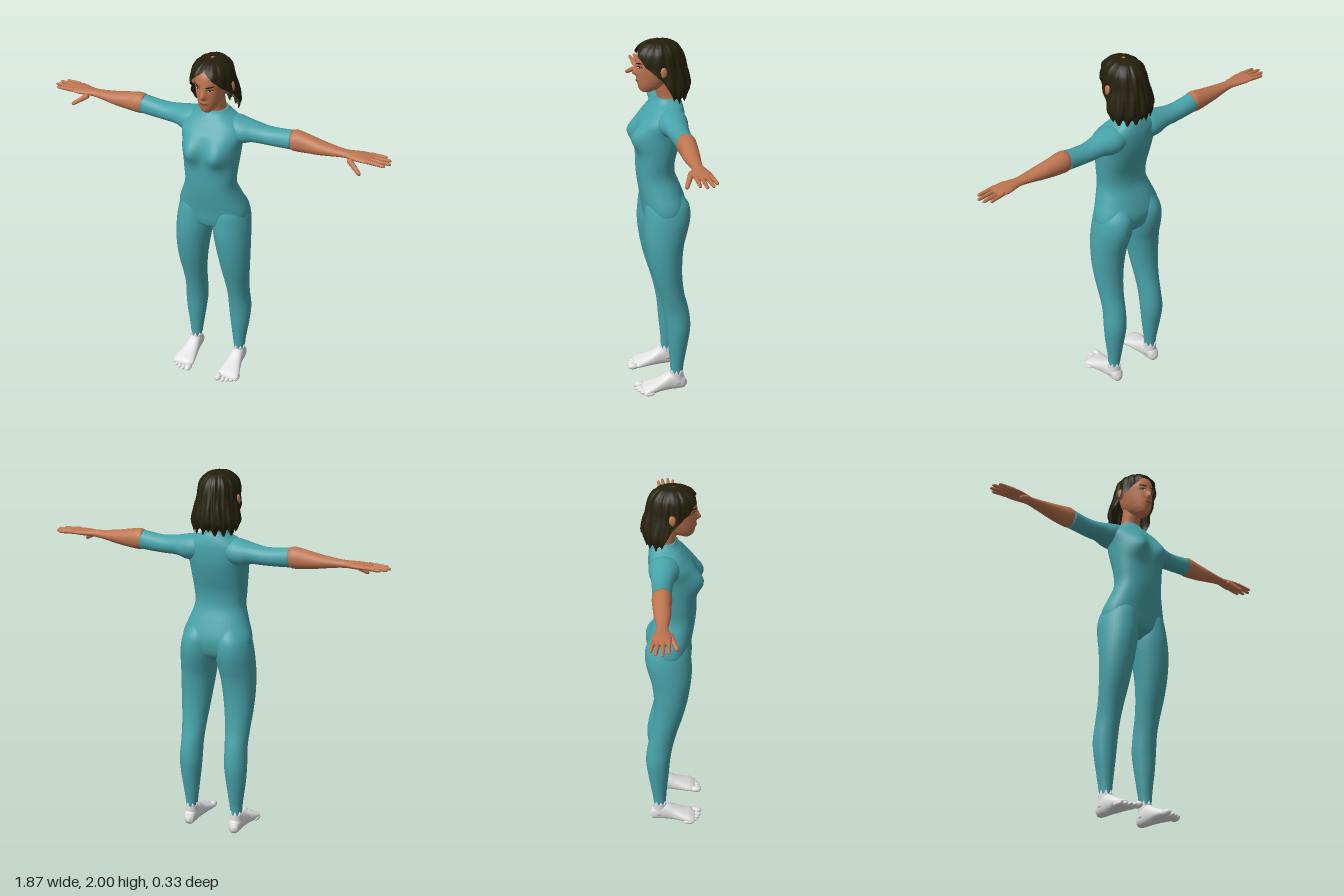
import * as THREE from 'three';

const mat = (name, color, side = THREE.FrontSide) => {
  const m = new THREE.MeshStandardMaterial({ color, side });
  m.name = name;
  return m;
};

// Smoothly subdivides a list of stations (arrays of numbers)
function refine(st, n) {
  const out = [];
  for (let i = 0; i < st.length - 1; i++) {
    const p0 = st[Math.max(i - 1, 0)], p1 = st[i], p2 = st[i + 1], p3 = st[Math.min(i + 2, st.length - 1)];
    for (let k = 0; k < n; k++) {
      const t = k / n;
      out.push(p1.map((b, j) => {
        if (j === 0) return b + (p2[0] - b) * t;
        const cubic = 3 * (b - p2[j]) + p3[j] - p0[j];
        const square = 2 * p0[j] - 5 * b + 4 * p2[j] - p3[j];
        return b + 0.5 * t * (p2[j] - p0[j] + t * (square + t * cubic));
      }));
    }
  }
  out.push(st[st.length - 1].slice());
  return out;
}

// Closed loft along an axis. Station: [t, a0, a1, b0, b1], the extents across the axis
function loft(axis, stations, { seg = 28, n = 4, p = 1, warp } = {}) {
  const rows = refine(stations, n), pos = [], idx = [];
  const put = (t, a, b) => {
    const v = axis === 'y' ? [a, t, b] : axis === 'x' ? [t, a, b] : [a, b, t];
    if (warp) warp(v);
    pos.push(...v);
  };
  const pw = (c) => Math.sign(c) * Math.abs(c) ** p;
  const tri = (a, b, c) => axis === 'y' ? idx.push(a, c, b) : idx.push(a, b, c);
  for (const [t, a0, a1, b0, b1] of rows)
    for (let j = 0; j < seg; j++) {
      const q = j / seg * Math.PI * 2;
      put(t, (a0 + a1) / 2 + (a1 - a0) / 2 * pw(Math.cos(q)), (b0 + b1) / 2 + (b1 - b0) / 2 * pw(Math.sin(q)));
    }
  const last = (rows.length - 1) * seg, c0 = rows.length * seg;
  for (const r of [rows[0], rows[rows.length - 1]]) put(r[0], (r[1] + r[2]) / 2, (r[3] + r[4]) / 2);
  for (let j = 0; j < seg; j++) {
    const k = (j + 1) % seg;
    for (let o = 0; o < last; o += seg) {
      tri(o + j, o + k, o + seg + j);
      tri(o + k, o + seg + k, o + seg + j);
    }
    tri(c0, k, j);
    tri(c0 + 1, last + j, last + k);
  }
  return build(pos, idx);
}

function build(pos, idx) {
  const g = new THREE.BufferGeometry();
  g.setAttribute('position', new THREE.Float32BufferAttribute(pos, 3));
  g.setIndex(idx);
  g.computeVertexNormals();
  return g;
}

function mirrored(geo) {
  const g = geo.clone().scale(-1, 1, 1), a = g.index.array;
  for (let i = 0; i < a.length; i += 3) [a[i], a[i + 1]] = [a[i + 1], a[i]];
  return g;
}

// Tapered rounded finger between two points
function finger(from, to, r) {
  const a = new THREE.Vector3(...from), b = new THREE.Vector3(...to), d = b.clone().sub(a);
  const len = d.length(), g = new THREE.CapsuleGeometry(r, len - r, 4, 10, 3), p = g.attributes.position;
  for (let i = 0; i < p.count; i++) {
    const s = 0.85 - 0.3 * p.getY(i) / len;
    p.setXYZ(i, p.getX(i) * s, p.getY(i), p.getZ(i) * s);
  }
  g.applyQuaternion(new THREE.Quaternion().setFromUnitVectors(new THREE.Vector3(0, 1, 0), d.normalize()));
  const m = a.add(b).multiplyScalar(0.5);
  return g.translate(m.x, m.y, m.z);
}

const gauss = (d, s) => Math.exp(-((d / s) ** 2));
const sym = (st) => st.map(([y, w, f, b]) => [y, -w, w, b, f]);

export function createModel() {
  const root = new THREE.Group();
  root.name = 'woman';
  const suit = mat('tealSuit', 0x48a3aa), skin = mat('skin', 0xbd7550), sock = mat('whiteSock', 0xe2e2e2);
  const hair = mat('darkHair', 0x241f0c, THREE.DoubleSide), white = mat('eyeWhite', 0xd8cfc4), lip = mat('lips', 0x8d4c3c);
  const add = (name, geo, m) => {
    const mesh = new THREE.Mesh(geo, m);
    mesh.name = name;
    root.add(mesh);
  };
  const pair = (name, geo, m) => {
    add(name + 'Left', geo, m);
    add(name + 'Right', mirrored(geo), m);
  };

  // Torso, with the bust pushed forward
  add('torso', loft('y', sym([
    [0.985, 0.05, 0.03, -0.07], [1.02, 0.14, 0.075, -0.115], [1.06, 0.185, 0.088, -0.132], [1.12, 0.19, 0.095, -0.137],
    [1.2, 0.162, 0.108, -0.112], [1.28, 0.138, 0.118, -0.082], [1.36, 0.143, 0.12, -0.083], [1.44, 0.15, 0.118, -0.105],
    [1.52, 0.157, 0.113, -0.125], [1.58, 0.168, 0.097, -0.13], [1.625, 0.155, 0.065, -0.128], [1.655, 0.115, 0.04, -0.122],
    [1.675, 0.08, 0.02, -0.115], [1.695, 0.06, 0.01, -0.105]]), {
    seg: 56, p: 0.88, warp(v) {
      if (v[2] > 0) v[2] += 0.05 * gauss(Math.abs(v[0]) - 0.075, 0.055) * gauss(v[1] - 1.495, 0.065) * Math.min(1, v[2] / 0.06);
    } }), suit);

  // Legs
  pair('leg', loft('y', [
    [0.09, 0.105, 0.165, -0.11, -0.04], [0.14, 0.1, 0.168, -0.113, -0.04], [0.2, 0.092, 0.175, -0.122, -0.036],
    [0.3, 0.08, 0.188, -0.138, -0.026], [0.4, 0.07, 0.195, -0.15, -0.018], [0.5, 0.068, 0.19, -0.14, -0.002],
    [0.6, 0.06, 0.195, -0.116, 0.022], [0.7, 0.048, 0.204, -0.104, 0.052], [0.8, 0.034, 0.21, -0.104, 0.076],
    [0.9, 0.018, 0.211, -0.115, 0.092], [0.98, 0.005, 0.207, -0.137, 0.098], [1.05, 0, 0.2, -0.15, 0.094],
    [1.12, 0.005, 0.182, -0.143, 0.086], [1.19, 0.03, 0.14, -0.1, 0.06]], { seg: 32 }), suit);

  // Feet: jagged ankle cuff, foot and toes
  pair('ankleCuff', loft('y', [[0.04, 0.098, 0.172, -0.118, -0.03], [0.08, 0.1, 0.17, -0.116, -0.034], [0.115, 0.099, 0.171, -0.115, -0.036]], {
    seg: 32, warp(v) {
      if (v[1] > 0.11) v[1] += 0.016 * Math.sin(Math.atan2(v[2] + 0.075, v[0] - 0.135) * 8);
    } }), sock);
  pair('foot', loft('z', [
    [-0.132, 0.125, 0.148, 0.02, 0.045], [-0.118, 0.107, 0.163, 0.003, 0.075], [-0.08, 0.1, 0.171, 0, 0.105],
    [-0.035, 0.096, 0.174, 0, 0.105], [0.01, 0.09, 0.182, 0, 0.08], [0.055, 0.083, 0.195, 0, 0.06],
    [0.095, 0.078, 0.203, 0, 0.045], [0.12, 0.085, 0.195, 0.004, 0.032]], { p: 0.85 }), sock);
  for (let i = 0; i < 5; i++) {
    const r = i ? 0.0135 : 0.019;
    pair('toe' + (i + 1), new THREE.SphereGeometry(1, 12, 8).scale(r, r * 0.95, 0.032)
      .translate(i ? 0.101 + i * 0.023 : 0.095, r, 0.128 - i * i * 0.0025), sock);
  }

  // Arms: sleeve, bare forearm and hand
  pair('sleeve', loft('x', [
    [0.05, 1.56, 1.645, -0.11, 0], [0.11, 1.525, 1.662, -0.125, 0.03], [0.16, 1.525, 1.655, -0.122, 0.03],
    [0.21, 1.54, 1.645, -0.112, 0.012], [0.28, 1.541, 1.636, -0.106, 0], [0.35, 1.543, 1.64, -0.102, -0.004],
    [0.425, 1.547, 1.65, -0.1, -0.004]]), suit);
  pair('forearm', loft('x', [
    [0.41, 1.549, 1.649, -0.099, -0.006], [0.435, 1.543, 1.656, -0.102, -0.002], [0.5, 1.548, 1.645, -0.097, -0.006],
    [0.57, 1.558, 1.631, -0.09, -0.006], [0.64, 1.57, 1.621, -0.08, -0.012], [0.7, 1.578, 1.616, -0.074, -0.018],
    [0.75, 1.58, 1.616, -0.086, -0.006], [0.79, 1.583, 1.615, -0.096, 0], [0.83, 1.587, 1.612, -0.095, -0.004],
    [0.845, 1.592, 1.608, -0.085, -0.014]]), skin);
  [[-0.084, 0.895, -0.096], [-0.062, 0.922, -0.073], [-0.038, 0.93, -0.042], [-0.014, 0.91, -0.013]].forEach(([z, x, tz], i) =>
    pair('finger' + (i + 1), finger([0.815, 1.601, z], [x, 1.597, tz], 0.0115), skin));
  pair('thumb', finger([0.73, 1.588, -0.012], [0.8, 1.544, 0.026], 0.015), skin);

  // Neck and head, with the nose and brow shaped by a rule
  add('neck', loft('y', sym([[1.64, 0.062, 0.005, -0.1], [1.7, 0.052, 0.008, -0.1], [1.74, 0.05, 0.02, -0.09], [1.8, 0.05, 0.03, -0.08]])), skin);
  const headSt = sym([
    [1.727, 0.02, 0.085, 0.035], [1.74, 0.036, 0.1, 0], [1.765, 0.052, 0.108, -0.045], [1.8, 0.065, 0.112, -0.08],
    [1.85, 0.075, 0.114, -0.1], [1.9, 0.079, 0.116, -0.105], [1.945, 0.072, 0.102, -0.095], [1.98, 0.035, 0.05, -0.05]]);
  const relief = (x, y) => 0.024 * gauss(x, 0.013) * gauss(y - 1.828, y > 1.828 ? 0.032 : 0.011)
    + 0.005 * gauss(x, 0.022) * gauss(y - 1.792, 0.012) - 0.006 * gauss(Math.abs(x) - 0.032, 0.015) * gauss(y - 1.866, 0.012);
  add('head', loft('y', headSt, { seg: 72, n: 6, warp(v) { if (v[2] > 0.03) v[2] += relief(v[0], v[1]); } }), skin);
  pair('ear', new THREE.SphereGeometry(1, 14, 10).scale(0.014, 0.032, 0.02).translate(0.103, 1.852, -0.005), skin);

  // Face details as thin patches following the face
  const rows = refine(headSt, 6);
  const faceZ = (x, y) => {
    const i = Math.max(1, rows.findIndex((r) => r[0] >= y)), a = rows[i - 1], b = rows[i], t = (y - a[0]) / (b[0] - a[0]);
    const [, , w, back, front] = a.map((v, j) => v + (b[j] - v) * t);
    return (front + back) / 2 + (front - back) / 2 * Math.sqrt(Math.max(0, 1 - (x / w) ** 2)) + relief(x, y);
  };
  const patch = (x, y, w, h, tilt, lift) => {
    const g = new THREE.CircleGeometry(1, 18).scale(w, h, 1).rotateZ(tilt).translate(x, y, 0), p = g.attributes.position;
    for (let i = 0; i < p.count; i++) p.setZ(i, faceZ(p.getX(i), p.getY(i)) + lift);
    g.computeVertexNormals();
    return g;
  };
  pair('eyebrow', patch(0.034, 1.888, 0.019, 0.004, 0.15, 0.003), hair);
  pair('eyeLine', patch(0.033, 1.867, 0.015, 0.0065, 0.06, 0.002), hair);
  pair('eye', patch(0.033, 1.8655, 0.012, 0.0042, 0.06, 0.003), white);
  pair('iris', patch(0.033, 1.866, 0.0045, 0.0045, 0, 0.004), hair);
  add('mouth', patch(0, 1.79, 0.022, 0.0065, 0, 0.002), lip);

  // Hair shell with strands, open around the face: [y, half width, front, back, opening angle]
  const hairRows = refine([
    [1.7, 0.122, 0.08, -0.14, 1.85], [1.75, 0.133, 0.1, -0.162, 1.62], [1.82, 0.12, 0.118, -0.155, 1.38],
    [1.87, 0.109, 0.125, -0.142, 0.98], [1.9, 0.106, 0.128, -0.134, 0.72], [1.94, 0.098, 0.12, -0.12, 0.35],
    [1.968, 0.08, 0.098, -0.1, 0.02], [1.988, 0.052, 0.065, -0.07, 0], [1.998, 0.008, 0.01, -0.01, 0]], 4);
  const pos = [], idx = [], n = 120;
  for (const [y, w, f, b, open] of hairRows)
    for (let j = 0; j <= n; j++) {
      const o = Math.max(0, open), q = o + (2 * Math.PI - 2 * o) * j / n, side = Math.abs(q - Math.PI);
      const low = Math.max(0, Math.min(1, (1.76 - y) / 0.06));
      const r = 1 + 0.03 * Math.sin(side * 13 + y * 22) + 0.015 * Math.sin(side * 29) - 0.05 * gauss(side - Math.PI, 0.12);
      pos.push(w * r * Math.sin(q), y + low * 0.016 * Math.sin(side * 17), (f + b) / 2 + (f - b) / 2 * r * Math.cos(q));
    }
  for (let i = 0; i < hairRows.length - 1; i++)
    for (let j = 0; j < n; j++) {
      const a = i * (n + 1) + j, c = a + n + 1;
      idx.push(a, a + 1, c, a + 1, c + 1, c);
    }
  add('hair', build(pos, idx), hair);
  return root;
}
